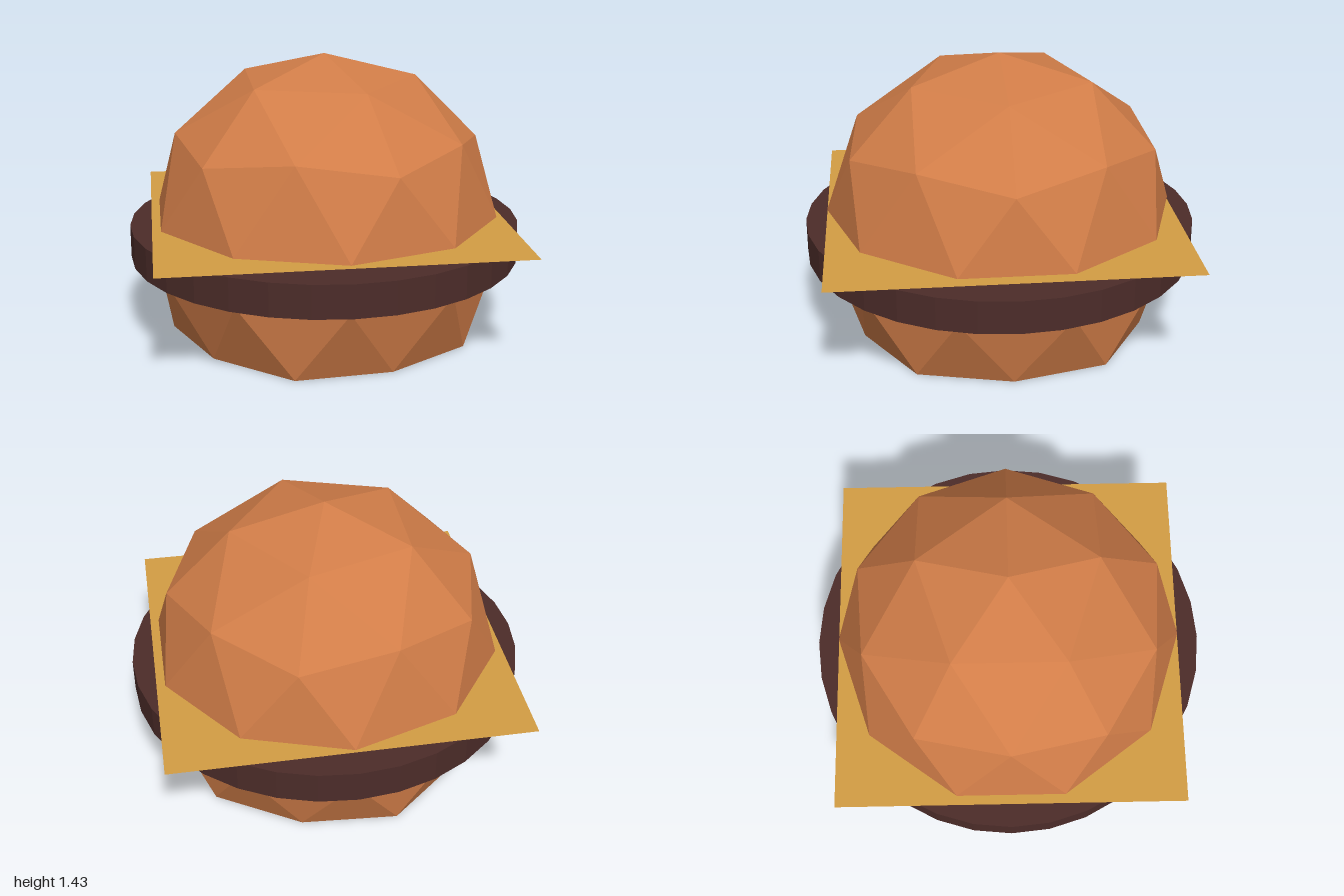
import * as THREE from 'three';
import { ConvexGeometry } from 'three/addons/geometries/ConvexGeometry.js';

const RADIUS = 0.89;   // bun radius
const DOME = 0.815;    // height of the upper bun

const material = (color, options = {}) =>
  new THREE.MeshStandardMaterial({ color, flatShading: true, ...options });

// Points evenly spaced on a horizontal circle, first one at startDeg from +x
function ring(count, radius, y, startDeg) {
  return Array.from({ length: count }, (_, i) => {
    const a = THREE.MathUtils.degToRad(startDeg) + (i / count) * Math.PI * 2;
    return new THREE.Vector3(Math.cos(a) * radius, y, Math.sin(a) * radius);
  });
}

function addPart(group, name, geometry, mat, y) {
  const mesh = new THREE.Mesh(geometry, mat);
  mesh.name = name;
  mesh.position.y = y;
  group.add(mesh);
}

export function createModel() {
  const group = new THREE.Group();
  group.name = 'burger';
  const bread = material(0xd17d48);

  // Upper bun: half of a faceted icosphere
  const topBun = new ConvexGeometry([
    new THREE.Vector3(0, DOME, 0),
    ...ring(5, 0.526 * RADIUS, 0.851 * DOME, 0),
    ...ring(5, 0.851 * RADIUS, 0.526 * DOME, 180),
    ...ring(5, 0.894 * RADIUS, 0.447 * DOME, 0),
    ...ring(10, RADIUS, 0, 18),
  ]);
  addPart(group, 'topBun', topBun, bread, 0.615);

  // Cheese: a thin square sheet
  const cheese = new THREE.PlaneGeometry(1.78, 1.78).rotateX(-Math.PI / 2);
  addPart(group, 'cheeseSlice', cheese, material(0xd39d44, { side: THREE.DoubleSide }), 0.6);

  // Patty: a wide flat disc
  const patty = new THREE.CylinderGeometry(1, 1, 0.167, 32);
  addPart(group, 'patty', patty, material(0x4c2c29), 0.4835);

  // Lower bun: zigzag facets down to a flat base
  const bottomBun = new ConvexGeometry([
    ...ring(10, RADIUS, 0.375, 18),
    ...ring(5, 0.894 * RADIUS, 0, 180),
    ...ring(5, 0.851 * RADIUS, 0, 0),
  ]);
  addPart(group, 'bottomBun', bottomBun, bread, 0);

  return group;
}
